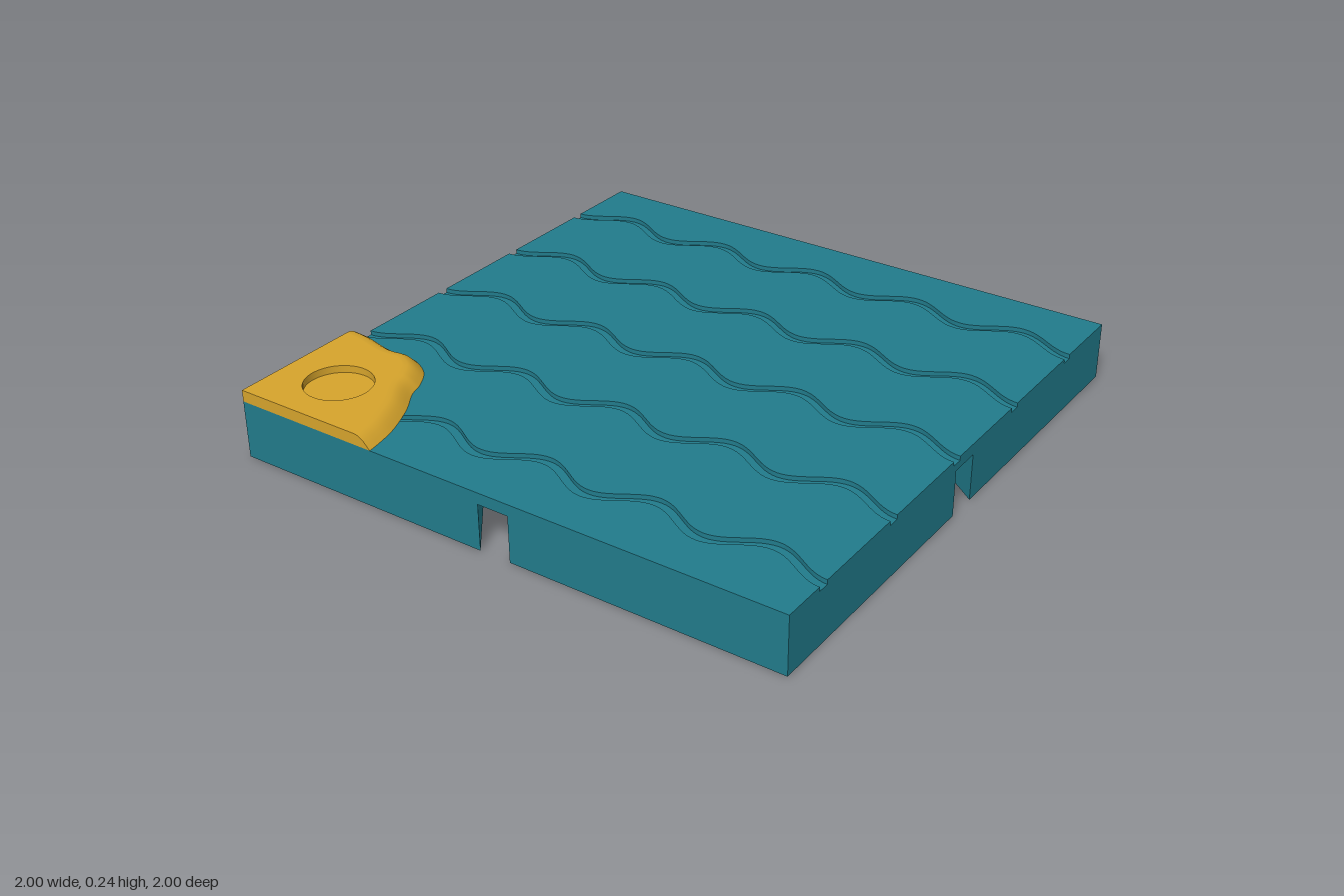
import * as THREE from 'three';

const TOP = 0.2, FLOOR = 0.185, SLOT = 0.16;
const teal = new THREE.MeshStandardMaterial({ color: 0x217b8b });
const gold = new THREE.MeshStandardMaterial({ color: 0xd6a42c });

function add(parent, name, geometry, material) {
  const mesh = new THREE.Mesh(geometry, material);
  mesh.name = name;
  parent.add(mesh);
  return mesh;
}

// Plan shape from [x, z] pairs
const plan = (pts) => new THREE.Shape(pts.map(([x, z]) => new THREE.Vector2(x, -z)));

// Upright prism over a plan shape
function prism(pts, y0, y1) {
  return new THREE.ExtrudeGeometry(plan(pts), { depth: y1 - y0, bevelEnabled: false })
    .rotateX(-Math.PI / 2).translate(0, y0, 0);
}

function createTile() {
  const tile = new THREE.Group();
  tile.name = 'tile';

  // Lower slab with a dovetail socket in the middle of each side
  const side = [[-1, 1], [-0.055, 1], [-0.21, 0.8], [0.21, 0.8], [0.055, 1]];
  const outline = [];
  for (let k = 0; k < 4; k++) {
    const c = Math.round(Math.cos(k * Math.PI / 2)), s = Math.round(Math.sin(k * Math.PI / 2));
    for (const [x, z] of side) outline.push([x * c + z * s, -x * s + z * c]);
  }
  add(tile, 'socketSlab', prism(outline, 0, SLOT), teal);

  // Plain layer that closes the sockets and floors the grooves
  add(tile, 'grooveFloor', new THREE.BoxGeometry(2, FLOOR - SLOT, 2)
    .translate(0, (FLOOR + SLOT) / 2, 0), teal);

  // Top strips, leaving wavy grooves between them
  const wave = (z0) => Array.from({ length: 121 }, (_, i) => {
    const x = -1 + i / 60;
    return [x, z0 - 0.04 * Math.cos(x * Math.PI * 5)];
  });
  const centres = [-0.76, -0.373, 0.014, 0.4, 0.786];
  for (let i = 0; i <= centres.length; i++) {
    const back = i === 0 ? [[-1, -1], [1, -1]] : wave(centres[i - 1] + 0.02);
    const front = i === centres.length ? [[-1, 1], [1, 1]] : wave(centres[i] - 0.02);
    add(tile, 'waveStrip', prism([...back, ...front.reverse()], FLOOR, TOP), teal);
  }
  return tile;
}

function createPatch() {
  const patch = new THREE.Group();
  patch.name = 'cornerPatch';
  const height = 0.24;
  // Rounded rim profile: inset, height
  const rim = [[0, TOP], [0.012, 0.213], [0.024, 0.225], [0.037, 0.234], [0.05, 0.239], [0.065, height]];

  // Shoreline in plan, x and z
  const shore = new THREE.SplineCurve([
    [-1, 0.465], [-0.93, 0.472], [-0.82, 0.498], [-0.74, 0.495], [-0.66, 0.54], [-0.615, 0.61],
    [-0.594, 0.67], [-0.54, 0.76], [-0.495, 0.87], [-0.477, 0.95], [-0.47, 1],
  ].map(([x, z]) => new THREE.Vector2(x, z)));

  // Rounded rim lofted inward along the shoreline
  const N = 80, M = rim.length, pos = [], idx = [], inner = [];
  for (let i = 0; i <= N; i++) {
    const p = shore.getPoint(i / N), t = shore.getTangent(i / N);
    if (i === 0) t.set(1, 0);
    if (i === N) t.set(0, 1);
    rim.forEach(([d, y], j) => {
      const x = Math.max(-1, p.x - t.y * d), z = Math.min(1, p.y + t.x * d);
      pos.push(x, y, z);
      if (j === M - 1) inner.push([x, z]);
      if (i < N && j < M - 1) {
        const a = i * M + j, b = a + M;
        idx.push(a, a + 1, b, b, a + 1, b + 1);
      }
    });
  }
  const skirt = new THREE.BufferGeometry();
  skirt.setAttribute('position', new THREE.Float32BufferAttribute(pos, 3));
  skirt.setIndex(idx);
  skirt.computeVertexNormals();
  add(patch, 'roundedRim', skirt, gold);

  // Flat top with a round opening
  const cx = -0.785, cz = 0.795, r = 0.113, bottom = 0.215;
  const top = plan([...inner, [-1, 1]]);
  top.holes.push(new THREE.Path().absarc(cx, -cz, r, 0, Math.PI * 2, true));
  add(patch, 'patchTop', new THREE.ShapeGeometry(top, 32)
    .rotateX(-Math.PI / 2).translate(0, height, 0), gold);

  // Shallow round recess
  const wallMaterial = gold.clone();
  wallMaterial.side = THREE.DoubleSide;
  add(patch, 'recessWall', new THREE.CylinderGeometry(r, r, height - bottom, 64, 1, true)
    .translate(cx, (height + bottom) / 2, cz), wallMaterial);
  add(patch, 'recessFloor', new THREE.CircleGeometry(r, 64)
    .rotateX(-Math.PI / 2).translate(cx, bottom, cz), gold);

  // Straight cut faces flush with the tile edges
  const panel = (pts) => new THREE.ShapeGeometry(new THREE.Shape(pts.map(([u, v]) => new THREE.Vector2(u, v))));
  add(patch, 'rightCutFace', panel([...rim.map(([d, y]) => [0.465 + d, y]), [1, height], [1, TOP]])
    .rotateY(-Math.PI / 2).translate(-1, 0, 0), gold);
  add(patch, 'frontCutFace', panel([...rim.map(([d, y]) => [-0.47 - d, y]), [-1, height], [-1, TOP]])
    .translate(0, 0, 1), gold);
  return patch;
}

export function createModel() {
  const model = new THREE.Group();
  model.name = 'waterTile';
  model.add(createTile(), createPatch());
  return model;
}
